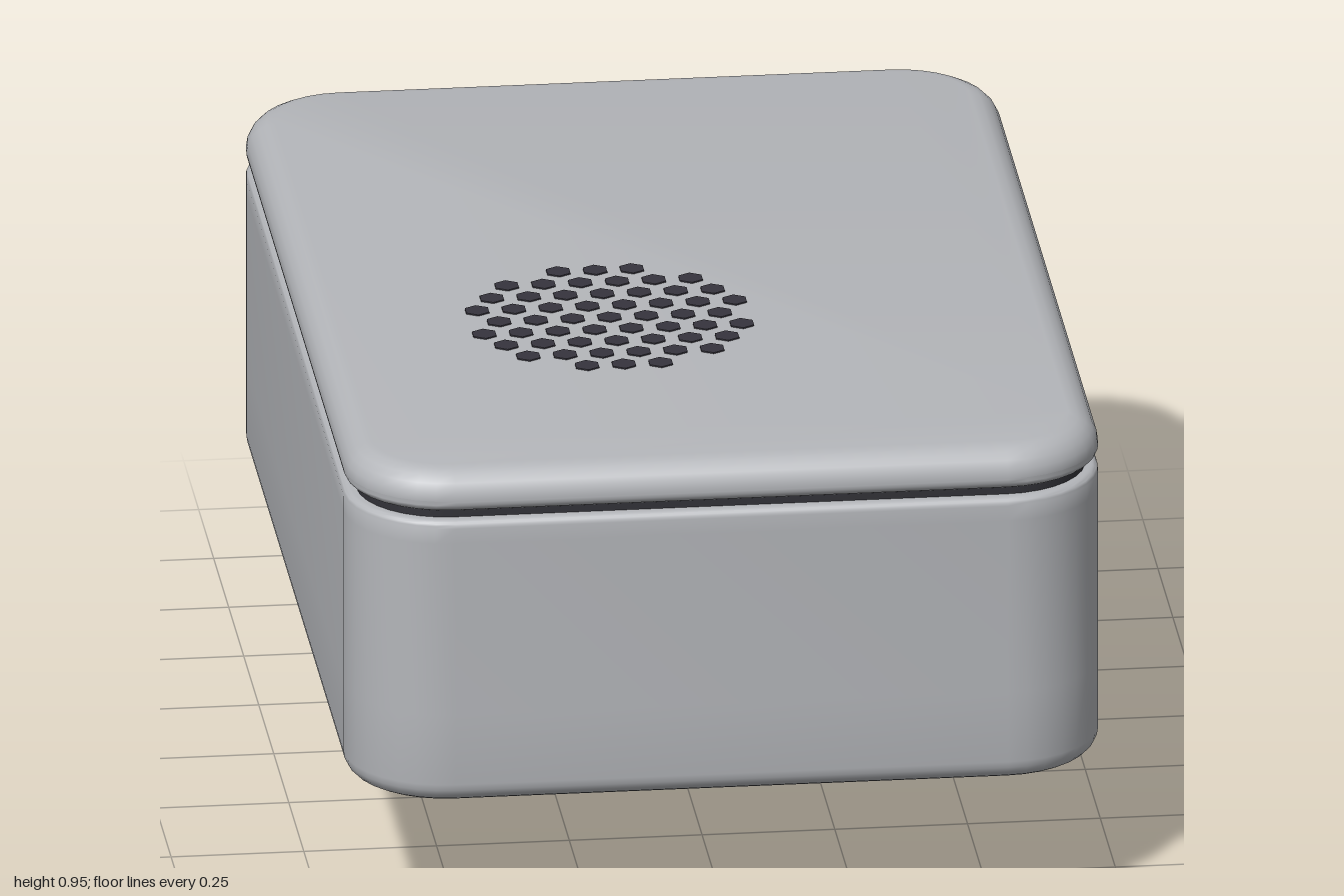
import * as THREE from 'three';
import { toCreasedNormals } from 'three/addons/utils/BufferGeometryUtils.js';

const HALF_W = 0.71, HALF_D = 1, CORNER = 0.19, STEPS = 8;

// Rounded-rectangle outline [x, z], inset from the full footprint.
// Starts at the back right corner and runs +x+z, -x+z, -x-z, +x-z.
function outline(inset) {
  const pts = [], r = CORNER - inset;
  const corners = [[1, 1], [-1, 1], [-1, -1], [1, -1]];
  corners.forEach(([sx, sz], c) => {
    for (let i = 0; i <= STEPS; i++) {
      const a = (c + i / STEPS) * Math.PI / 2;
      pts.push([sx * (HALF_W - CORNER) + r * Math.cos(a), sz * (HALF_D - CORNER) + r * Math.sin(a)]);
    }
  });
  return pts;
}

// Closed slab lofted through rows of [inset, y], from bottom to top
function slab(rows) {
  const pos = [], idx = [], n = outline(0).length, last = rows.length - 1;
  rows.forEach(([inset, y]) => outline(inset).forEach(([x, z]) => pos.push(x, y, z)));
  for (let j = 0; j < last; j++) {
    for (let i = 0; i < n; i++) {
      const a = j * n + i, b = j * n + (i + 1) % n;
      idx.push(a, a + n, b, b, a + n, b + n);
    }
  }
  for (let i = 1; i < n - 1; i++) {
    idx.push(0, i, i + 1, last * n, last * n + i + 1, last * n + i);
  }
  const g = new THREE.BufferGeometry();
  g.setAttribute('position', new THREE.Float32BufferAttribute(pos, 3));
  g.setIndex(idx);
  return toCreasedNormals(g, 0.6);
}

// Quarter-round rows for a bottom (dir 1) or top (dir -1) edge
function roundEdge(y, r, dir) {
  const rows = [];
  for (let i = 0; i <= 5; i++) {
    const a = i / 5 * Math.PI / 2;
    rows.push([r * (1 - Math.sin(a)), y + dir * r * (1 - Math.cos(a))]);
  }
  return dir > 0 ? rows : rows.reverse();
}

export function createModel() {
  const model = new THREE.Group();
  const shell = new THREE.MeshStandardMaterial({ name: 'shell grey', color: 0xb4b6ba });
  const dark = new THREE.MeshStandardMaterial({ name: 'opening charcoal', color: 0x36343d });
  const black = new THREE.MeshStandardMaterial({ name: 'mount black', color: 0x323238 });

  function add(name, geometry, material, x = 0, y = 0, z = 0, parent = model) {
    const mesh = new THREE.Mesh(geometry, material);
    mesh.name = name;
    mesh.position.set(x, y, z);
    parent.add(mesh);
    return mesh;
  }

  // Case body: plain layers below and above a layer notched at the back
  const LOW = 0.46, HIGH = 0.805, RECESS = 0.05;
  const openings = [[-0.5, -0.16], [-0.125, 0.16], [0.205, 0.49]];
  add('bodyBottom', slab([...roundEdge(0.28, 0.04, 1), [0, LOW]]), shell);
  add('bodyTop', slab([[0, HIGH], ...roundEdge(0.85, 0.015, -1)]), shell);
  const pts = outline(0);
  const cut = 3 * (STEPS + 1);
  const notches = openings.flatMap(([a, b]) =>
    [[a, -1], [a, -1 + RECESS], [b, -1 + RECESS], [b, -1]]);
  const plan = [...pts.slice(0, cut), ...notches, ...pts.slice(cut)];
  const middle = new THREE.ExtrudeGeometry(
    new THREE.Shape(plan.map(([x, z]) => new THREE.Vector2(x, -z))),
    { depth: HIGH - LOW, bevelEnabled: false });
  middle.rotateX(-Math.PI / 2);
  add('bodyMiddle', toCreasedNormals(middle, 0.6), shell, 0, LOW, 0);

  // Back sockets: dark recessed panels, two with a tongue
  const sockets = new THREE.Group();
  sockets.name = 'backSockets';
  model.add(sockets);
  for (const [a, b] of openings) {
    add('socketPanel', new THREE.BoxGeometry(b - a, HIGH - LOW, 0.008), dark,
      (a + b) / 2, (LOW + HIGH) / 2, -1 + RECESS - 0.004, sockets);
  }
  for (const [a, b] of openings.slice(1)) {
    add('socketTongue', new THREE.BoxGeometry(b - a - 0.015, 0.045, RECESS), dark,
      (a + b) / 2, 0.672, -1 + RECESS / 2, sockets);
  }

  // Lid and the dark seam beneath it
  add('seam', slab([[0.024, 0.84], [0.024, 0.875]]), black);
  add('lid', slab([...roundEdge(0.866, 0.022, 1), ...roundEdge(0.945, 0.055, -1)]), shell);

  // Side ports: thin rounded plates on the left wall [z centre, length, height, radius]
  const ports = [[0.508, 0.185, 0.075, 0.036], [0.21, 0.14, 0.07, 0.022], [-0.063, 0.145, 0.07, 0.022]];
  for (const [z, len, h, r] of ports) {
    const s = new THREE.Shape(), u = len / 2, v = h / 2;
    s.moveTo(-u + r, -v);
    s.lineTo(u - r, -v);
    s.absarc(u - r, -v + r, r, -Math.PI / 2, 0);
    s.absarc(u - r, v - r, r, 0, Math.PI / 2);
    s.absarc(-u + r, v - r, r, Math.PI / 2, Math.PI);
    s.absarc(-u + r, -v + r, r, Math.PI, Math.PI * 1.5);
    const g = new THREE.ExtrudeGeometry(s, { depth: 0.006, bevelEnabled: false, curveSegments: 5 });
    g.rotateY(Math.PI / 2);
    add('sidePort', g, dark, HALF_W - 0.003, 0.449, z);
  }

  // Speaker grille: hexagonal holes in staggered rows
  const grille = new THREE.Group();
  grille.name = 'speakerGrille';
  model.add(grille);
  const hex = new THREE.CylinderGeometry(0.025, 0.025, 0.006, 6).toNonIndexed();
  hex.computeVertexNormals();
  [3, 6, 7, 8, 7, 8, 7, 6, 3].forEach((count, row) => {
    for (let i = 0; i < count; i++) {
      add('grilleHole', hex, dark, -0.145 + (i - (count - 1) / 2) * 0.0693, 0.9445, row * 0.06, grille);
    }
  });

  // Mount underneath: chamfered disc and stem
  const turned = (profile, sides) => toCreasedNormals(
    new THREE.LatheGeometry(profile.map(([r, y]) => new THREE.Vector2(r, y)), sides), 0.5);
  add('mountDisc', turned([[0, 0.2], [0.465, 0.2], [0.487, 0.223], [0.487, 0.285], [0, 0.285]], 48), black);
  add('mountStem', turned([[0, 0], [0.103, 0], [0.114, 0.006], [0.12, 0.018], [0.12, 0.21]], 32), black);

  return model;
}
